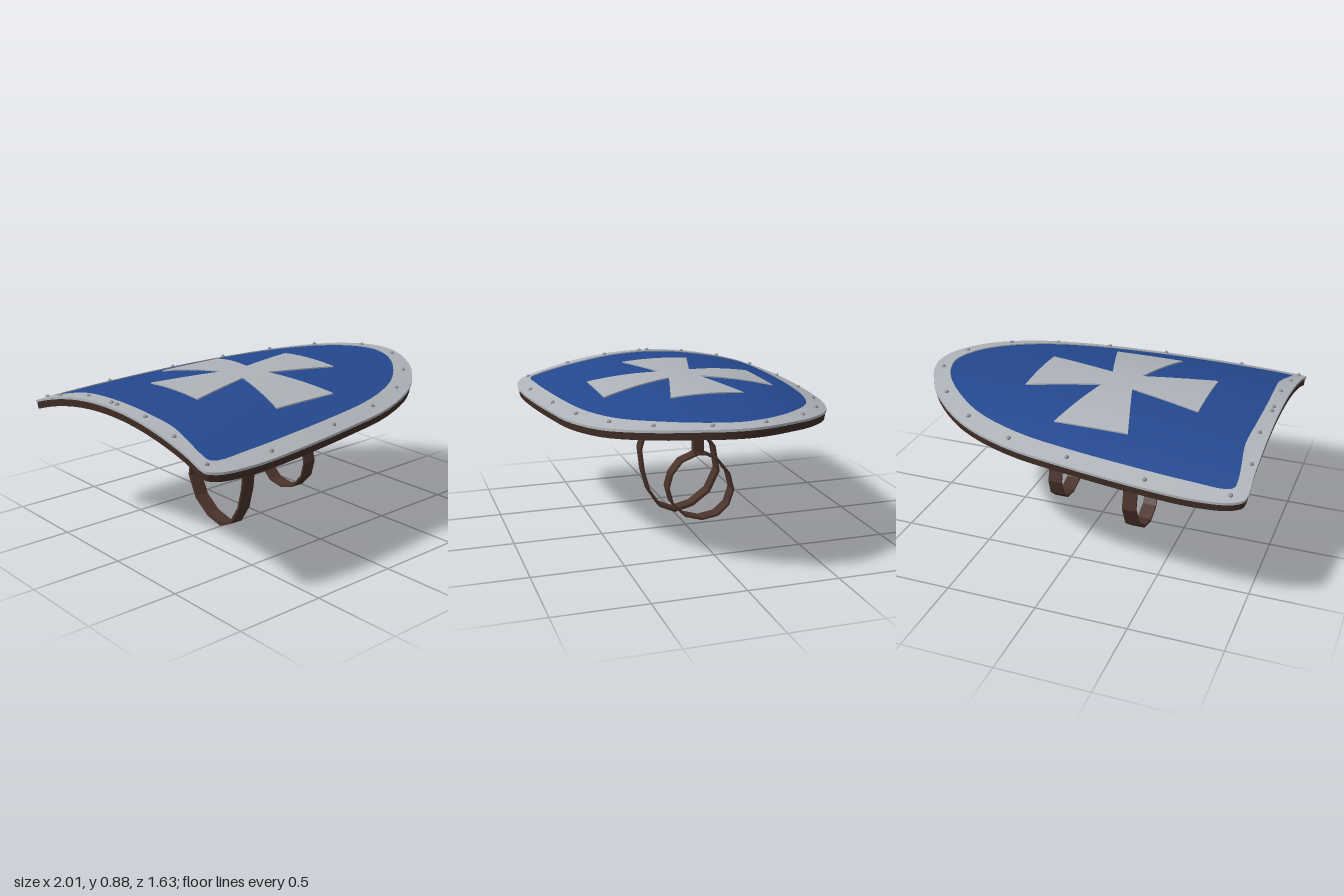
import * as THREE from 'three';
import { mergeGeometries, toCreasedNormals } from 'three/addons/utils/BufferGeometryUtils.js';

const mat = (name, color, side = THREE.FrontSide) => {
  const m = new THREE.MeshStandardMaterial({ color, side });
  m.name = name;
  return m;
};

// Height of the domed face
const dome = (x, z) => 0.872 - 0.236 * z * z - 0.03 * (x + 0.1) ** 2;

// Half outlines [x, z] from the rounded tip to the straight edge; the two lists correspond
const OUTER = [[1, 0], [0.98, 0.12], [0.925, 0.24], [0.815, 0.4], [0.585, 0.59], [0.285, 0.71], [-0.07, 0.77], [-0.5, 0.81],
  [-0.75, 0.815], [-0.92, 0.795], [-0.97, 0.775], [-1, 0.75], [-1, 0.6], [-1, 0.42], [-1, 0.2], [-1, 0]];
const INNER = [[0.905, 0], [0.885, 0.1], [0.835, 0.205], [0.73, 0.335], [0.525, 0.5], [0.25, 0.61], [-0.08, 0.67], [-0.5, 0.71],
  [-0.72, 0.72], [-0.89, 0.72], [-0.93, 0.7], [-0.935, 0.65], [-0.925, 0.55], [-0.905, 0.4], [-0.915, 0.2], [-0.92, 0]];

// Mirror a half outline and smooth it into a closed loop
function outline(half) {
  const mirrored = half.slice(1, -1).reverse().map(([x, z]) => [x, -z]);
  const pts = [...half, ...mirrored].map(([x, z]) => new THREE.Vector3(x, 0, z));
  return new THREE.CatmullRomCurve3(pts, true).getPoints(pts.length * 4).slice(0, -1);
}

// Lay a loop on the dome, scaled about the middle and raised by an offset
const ring = (loop, scale, offset) => loop.map((p) => {
  const x = -0.1 + (p.x + 0.1) * scale, z = p.z * scale;
  return [x, dome(x, z) + offset, z];
});

// Skin a series of loops
function loft(rings) {
  const n = rings[0].length, index = [];
  for (let r = 0; r < rings.length - 1; r++) {
    for (let i = 0; i < n; i++) {
      const a = r * n + i, b = r * n + (i + 1) % n;
      index.push(a, a + n, b, b, a + n, b + n);
    }
  }
  const g = new THREE.BufferGeometry();
  g.setAttribute('position', new THREE.Float32BufferAttribute(rings.flat(2), 3));
  g.setIndex(index);
  return toCreasedNormals(g, 0.6);
}

// Thin plate bent over the dome; half width goes from w0 to w1 between d0 and d1
function plate(d0, d1, w0, w1, turn) {
  const g = new THREE.BoxGeometry(1, 1, 1, 10, 1, 10);
  const p = g.attributes.position, c = Math.cos(turn), s = Math.sin(turn);
  for (let i = 0; i < p.count; i++) {
    const u = p.getX(i) + 0.5;
    const d = d0 + (d1 - d0) * u, w = 2 * p.getZ(i) * (w0 + (w1 - w0) * u);
    const x = -0.115 + d * c + w * s, z = -d * s + w * c;
    p.setXYZ(i, x, dome(x, z) + (p.getY(i) > 0 ? 0.007 : -0.002), z);
  }
  return toCreasedNormals(g, 0.6);
}

// Extrude a [z, y] profile along x
function slab(points, x0, x1, hole) {
  const vec = (list) => list.map(([z, y]) => new THREE.Vector2(-z, y));
  const shape = new THREE.Shape(vec(points));
  if (hole) shape.holes.push(new THREE.Path(vec(hole)));
  return new THREE.ExtrudeGeometry(shape, { depth: x1 - x0, bevelEnabled: false })
    .rotateY(Math.PI / 2).translate(x0, 0, 0);
}

// Flat leather loop
function loopBand(points, x0, x1) {
  const n = points.length;
  const cz = points.reduce((t, p) => t + p[0], 0) / n, cy = points.reduce((t, p) => t + p[1], 0) / n;
  return slab(points, x0, x1, points.map(([z, y]) => [cz + (z - cz) * 0.94, cy + (y - cy) * 0.94]));
}

export function createModel() {
  const blue = mat('blue paint', 0x24488f);
  const silver = mat('silver metal', 0xaeb3b9);
  const rivetGrey = mat('rivet steel', 0x8f949b);
  const wood = mat('dark wood', 0x3f2c25);
  const leather = mat('brown leather', 0x4a332b, THREE.DoubleSide);

  const model = new THREE.Group();
  const add = (name, geometry, material) => {
    const m = new THREE.Mesh(geometry, material);
    m.name = name;
    model.add(m);
    return m;
  };
  const outer = outline(OUTER), inner = outline(INNER);
  const steps = [0, 0.15, 0.3, 0.45, 0.6, 0.75, 0.88];

  // Wooden body: underside, then up the side
  add('woodenBody', loft([
    ...steps.map((s) => ring(outer, s, -0.05)),
    ring(outer, 0.99, -0.05), ring(outer, 0.994, -0.008),
  ]), wood);

  // Metal rim
  add('rim', loft([
    ring(outer, 0.98, -0.009), ring(outer, 1, -0.009), ring(outer, 1, 0.004),
    ring(inner, 1, 0.006), ring(inner, 1, -0.004),
  ]), silver);

  // Painted face
  add('paintedFace', loft([1.005, ...steps.slice().reverse()].map((s) => ring(inner, s, 0))), blue);

  // Flared cross
  const arms = [0, 1, 2, 3].map((k) => plate(0.09, 0.49, 0.088, 0.203, k * Math.PI / 2));
  add('cross', mergeGeometries([plate(-0.09, 0.09, 0.09, 0.09, 0), ...arms]), silver);

  // Rivets around the rim
  const rivets = [[-0.925, -0.75], [-0.5, -0.765], [-0.075, -0.72], [0.27, -0.66], [0.555, -0.545], [0.775, -0.37],
    [0.93, -0.107], [0.91, 0.16], [0.74, 0.405], [0.5, 0.567], [0.2, 0.67], [-0.145, 0.727], [-0.605, 0.77],
    [-0.96, 0.72], [-0.957, 0.47], [-0.95, 0.23], [-0.96, 0], [-0.96, 0.05 * -1], [-0.95, -0.28], [-0.97, -0.53]];
  const head = new THREE.SphereGeometry(0.012, 10, 6);
  rivets.forEach(([x, z]) => add('rivet', head, rivetGrey).position.set(x, dome(x, z) + 0.006, z));

  // Arm strap (large) and hand strap (small)
  add('armStrap', loopBand([[0.04, 0.587], [0.12, 0.56], [0.185, 0.495], [0.208, 0.415], [0.192, 0.275], [0.158, 0.15],
    [0.09, 0.045], [-0.005, 0.003], [-0.12, 0.03], [-0.228, 0.108], [-0.29, 0.235], [-0.262, 0.395],
    [-0.21, 0.465], [-0.11, 0.54], [-0.02, 0.585]], -0.3, -0.22), leather);
  add('handStrap', loopBand([[0.01, 0.505], [0.105, 0.47], [0.163, 0.4], [0.185, 0.32], [0.16, 0.225], [0.085, 0.145],
    [-0.015, 0.115], [-0.11, 0.13], [-0.175, 0.185], [-0.205, 0.275], [-0.18, 0.375], [-0.11, 0.465],
    [-0.04, 0.5]], 0.175, 0.255), leather);

  // Posts that hold the straps
  for (const [x, low] of [[-0.258, 0.575], [0.218, 0.492]]) {
    const post = add('strapPost', new THREE.BoxGeometry(0.052, 0.835 - low, 0.054), leather);
    post.position.set(x, (0.835 + low) / 2, 0);
  }

  // Hanging bracket near the tip
  add('hangingBracket', slab([[0.165, 0.815], [0.08, 0.7], [-0.08, 0.7], [-0.165, 0.815],
    [-0.12, 0.815], [-0.062, 0.731], [0.062, 0.731], [0.12, 0.815]], 0.38, 0.425), leather);

  return model;
}
